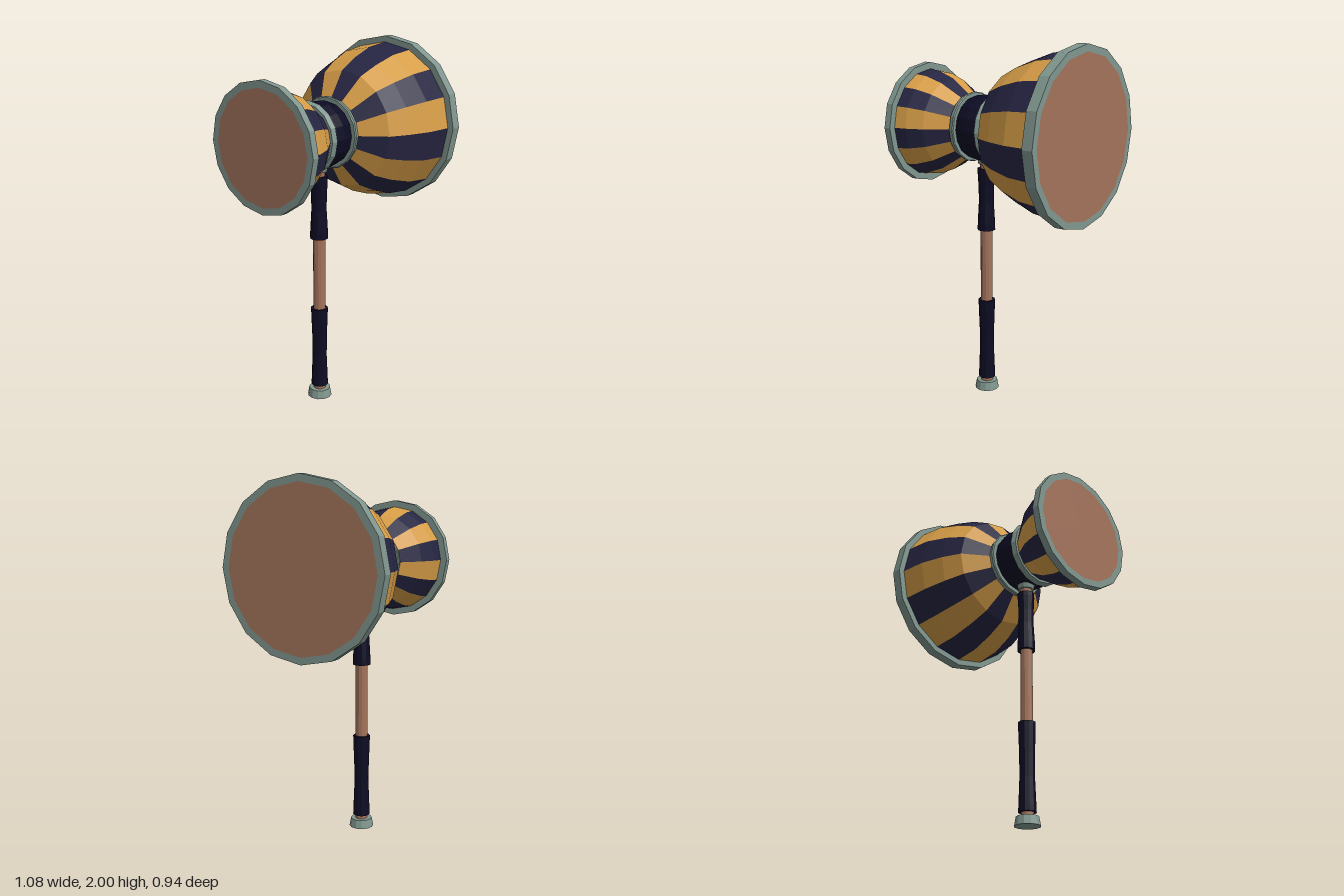
import * as THREE from 'three';

const mat = (name, color) => {
  const m = new THREE.MeshStandardMaterial({ color });
  m.name = name;
  return m;
};

// faceted solid of revolution from [radius, height] pairs, bottom to top
function turned(name, profile, sides, material) {
  const points = profile.map(([r, h]) => new THREE.Vector2(r, h));
  const lathe = new THREE.LatheGeometry(points, sides);
  if (Array.isArray(material)) {
    const count = (points.length - 1) * 6;
    for (let i = 0; i < sides; i++) lathe.addGroup(i * count, count, i % material.length);
  }
  const geo = lathe.toNonIndexed();
  geo.computeVertexNormals();
  const mesh = new THREE.Mesh(geo, material);
  mesh.name = name;
  return mesh;
}

export function createModel() {
  const gold = mat('gold stripe', 0xd69d47);
  const navy = mat('navy stripe', 0x262542);
  const dark = mat('dark wrap', 0x0d0c24);
  const metal = mat('grey metal', 0x80968f);
  const wood = mat('wood', 0xa3735b);

  const model = new THREE.Group();
  model.name = 'mallet';

  // Head: turned upright, then laid along x
  const head = new THREE.Group();
  head.name = 'head';
  head.rotation.z = -Math.PI / 2;
  head.position.y = 1.532;
  const S = 16;
  head.add(
    // striped bells
    turned('smallBell', [[0.3, -0.5], [0.291, -0.43], [0.255, -0.335], [0.165, -0.205]], S, [navy, gold]),
    turned('largeBell', [[0.165, -0.01], [0.19, 0.008], [0.318, 0.095], [0.372, 0.2], [0.417, 0.33], [0.434, 0.475]], S, [navy, gold]),
    // rims and striking faces
    turned('smallRim', [[0.3, -0.54], [0.337, -0.54], [0.337, -0.5], [0.29, -0.5]], S, metal),
    turned('smallFace', [[0, -0.54], [0.3, -0.54]], S, wood),
    turned('largeRim', [[0.42, 0.475], [0.468, 0.475], [0.468, 0.535], [0.43, 0.535]], S, metal),
    turned('largeFace', [[0.43, 0.535], [0, 0.535]], S, wood),
    // waist and its collars
    turned('waist', [[0.165, -0.185], [0.174, -0.155], [0.18, -0.105], [0.174, -0.055], [0.165, -0.025]], S, dark),
    turned('smallCollar', [[0.15, -0.21], [0.183, -0.21], [0.193, -0.182], [0.188, -0.177], [0.15, -0.177]], S, metal),
    turned('largeCollar', [[0.15, -0.035], [0.19, -0.035], [0.196, -0.029], [0.187, -0.003], [0.15, -0.003]], S, metal)
  );
  model.add(head);

  // Handle
  const handle = new THREE.Group();
  handle.name = 'handle';
  handle.position.x = -0.102;
  const H = 12;
  handle.add(
    turned('shaft', [[0.034, 0.03], [0.034, 1.37]], H, wood),
    turned('pommel', [[0, 0], [0.069, 0], [0.06, 0.048], [0, 0.048]], H, metal),
    turned('lowerGrip', [[0.03, 0.07], [0.048, 0.07], [0.047, 0.1], [0.041, 0.25], [0.042, 0.37], [0.047, 0.51], [0.048, 0.545], [0.03, 0.545]], H, dark),
    turned('upperGrip', [[0.03, 0.96], [0.05, 0.96], [0.049, 1.0], [0.042, 1.12], [0.043, 1.2], [0.048, 1.285], [0.048, 1.31], [0.03, 1.31]], H, dark),
    turned('topCollar', [[0.03, 1.335], [0.044, 1.335], [0.05, 1.365], [0.03, 1.375]], H, metal)
  );
  model.add(handle);
  return model;
}
